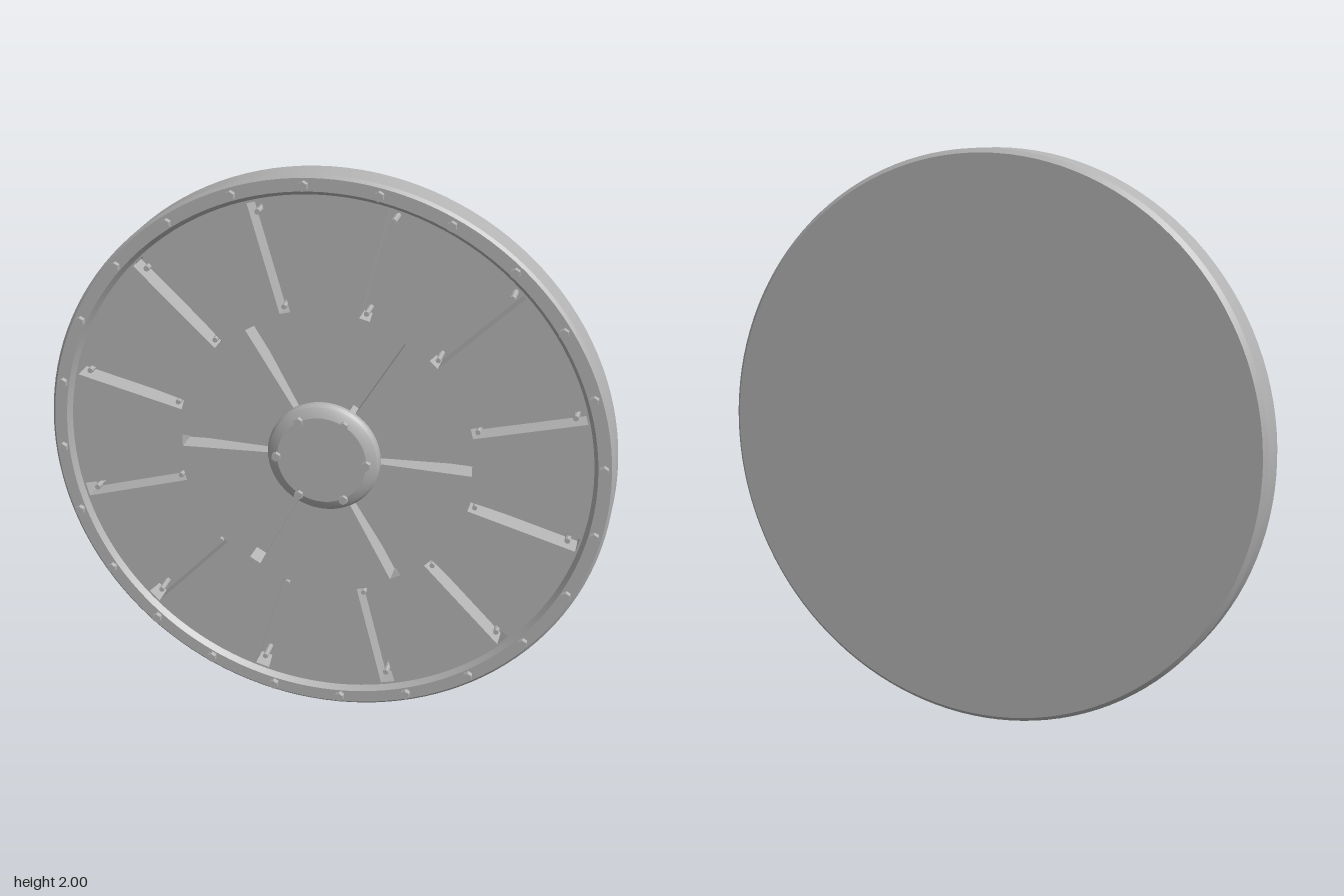
import * as THREE from 'three';
import { toCreasedNormals } from 'three/addons/utils/BufferGeometryUtils.js';

const steel = new THREE.MeshStandardMaterial({ color: 0xb4b4b4 });
steel.name = 'steel grey';

// Turned part: profile of [radius, z], running from back to front
function turned(profile, segments) {
  const geo = new THREE.LatheGeometry(profile.map(([r, z]) => new THREE.Vector2(r, z)), segments);
  geo.rotateX(Math.PI / 2);
  return toCreasedNormals(geo, 0.35);
}

// Radial slot outline, tapering between two radii
function slot(angle, r0, w0, r1, w1) {
  const c = Math.cos(angle), s = Math.sin(angle);
  const corners = [[r0, -w0 / 2], [r1, -w1 / 2], [r1, w1 / 2], [r0, w0 / 2]];
  return new THREE.Path(corners.map(([r, w]) => new THREE.Vector2(r * c - w * s, r * s + w * c)));
}

export function createModel() {
  const model = new THREE.Group();
  const shield = new THREE.Group();
  shield.name = 'shield';
  shield.position.y = 1;
  model.add(shield);

  const add = (name, geo, parent = shield) => {
    const mesh = new THREE.Mesh(geo, steel);
    mesh.name = name;
    parent.add(mesh);
    return mesh;
  };

  // Closed back, bevelled rim and slot floor
  add('rimAndBack', turned([
    [0, -0.085], [0.985, -0.085], [1, -0.07], [1, 0.035], [0.99, 0.045],
    [0.945, 0.045], [0.93, 0.025], [0.93, -0.055], [0, -0.055],
  ], 128));

  // Recessed front panel, cut by radial slots
  const disc = new THREE.Shape();
  disc.absarc(0, 0, 0.932, 0, Math.PI * 2);
  for (let i = 0; i < 12; i++) {
    disc.holes.push(slot(Math.PI * (1 + 2 * i) / 12, 0.53, 0.038, 0.922, 0.052));
  }
  for (let i = 0; i < 6; i++) {
    disc.holes.push(slot(Math.PI * i / 3, 0.185, 0.022, 0.518, 0.044));
  }
  const panel = new THREE.ExtrudeGeometry(disc, { depth: 0.08, bevelEnabled: false, curveSegments: 96 });
  panel.translate(0, 0, -0.055);
  add('slottedPanel', panel);

  // Central boss
  add('boss', turned([[0.2, 0.02], [0.2, 0.04], [0.192, 0.052], [0.178, 0.062], [0.158, 0.07], [0, 0.07]], 64));

  // Rings of bolts
  const bolts = (name, count, ring, offset, radius, z0, z1, sides) => {
    const group = new THREE.Group();
    group.name = name;
    shield.add(group);
    const geo = new THREE.CylinderGeometry(radius, radius, z1 - z0, sides).toNonIndexed();
    geo.rotateX(Math.PI / 2);
    geo.computeVertexNormals();
    for (let i = 0; i < count; i++) {
      const a = offset + i * Math.PI * 2 / count;
      add('bolt', geo, group).position.set(ring * Math.cos(a), ring * Math.sin(a), (z0 + z1) / 2);
    }
  };
  bolts('rimBolts', 24, 0.965, THREE.MathUtils.degToRad(3.8), 0.017, 0.04, 0.065, 6);
  bolts('bossBolts', 6, 0.16, 0, 0.016, 0.055, 0.085, 6);
  bolts('outerSlotPins', 12, 0.885, Math.PI / 12, 0.01, -0.056, 0.02, 8);
  bolts('innerSlotPins', 12, 0.55, Math.PI / 12, 0.009, -0.056, 0.02, 8);

  return model;
}
